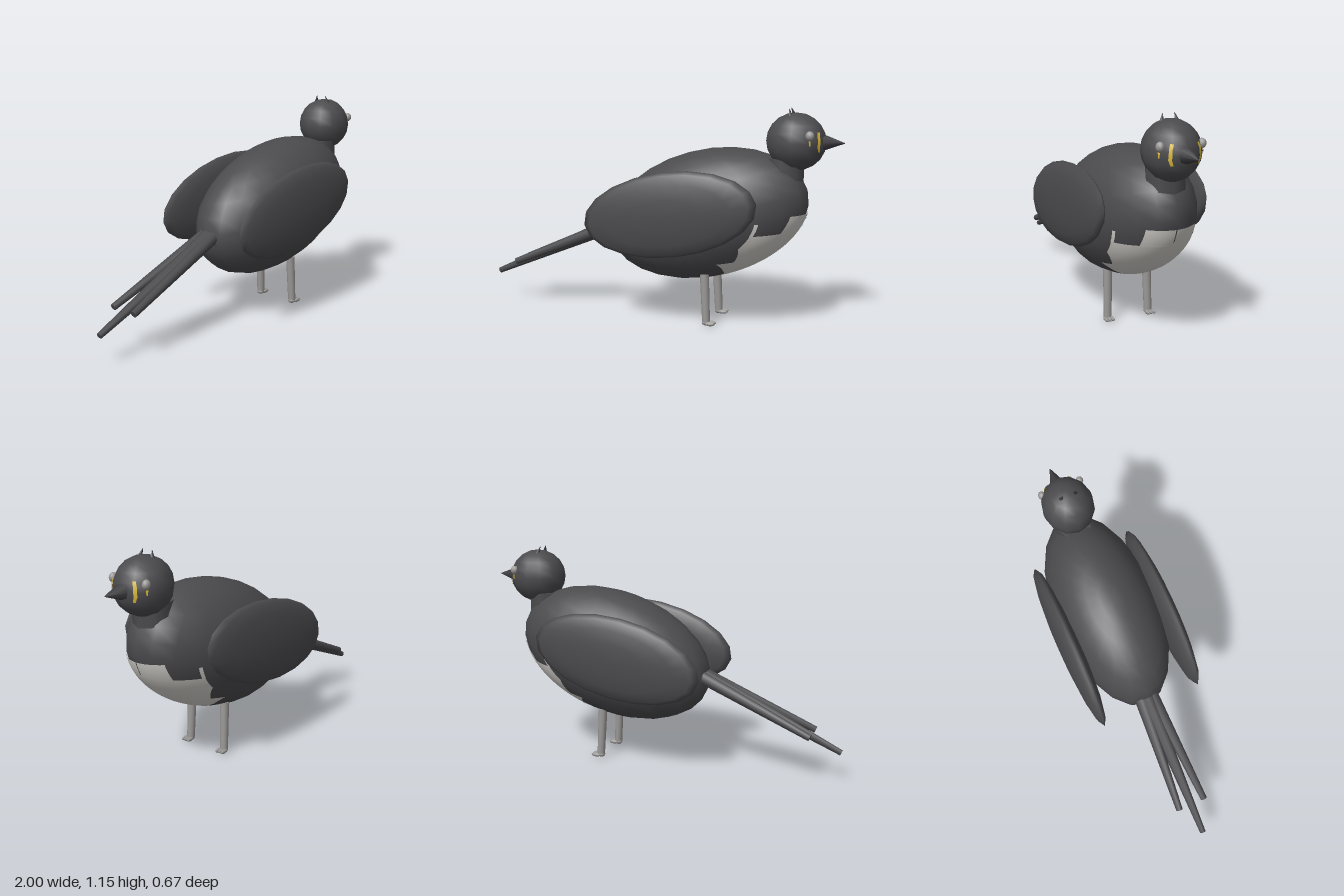
import * as THREE from 'three';

const mat = (name, color, side = THREE.FrontSide) => {
  const m = new THREE.MeshStandardMaterial({ color, side });
  m.name = name;
  return m;
};

export function createModel() {
  const bird = new THREE.Group();
  bird.name = 'bird';
  const plumage = mat('charcoal plumage', 0x4b4a4d, THREE.DoubleSide);
  const horn = mat('dark beak', 0x3f3f43);
  const belly = mat('pale belly', 0xd2d0cb, THREE.DoubleSide);
  const skin = mat('grey skin', 0x9b9997);
  const gold = mat('gold', 0xdab83c, THREE.DoubleSide);

  const add = (name, geo, material, parent = bird) => {
    const m = new THREE.Mesh(geo, material);
    m.name = name;
    parent.add(m);
    return m;
  };
  // Ellipsoid e: centre x, y, z, radii a, b, w and tilt t about z
  const ellipsoid = (name, e, ws, hs, material, poleAlongZ = false) => {
    const g = new THREE.SphereGeometry(1, ws, hs);
    if (poleAlongZ) g.rotateX(Math.PI / 2);
    g.scale(e.a, e.b, e.w).rotateZ(e.t || 0).translate(e.x, e.y, e.z || 0);
    return add(name, g, material);
  };
  // Tapered round rod between two points
  const rod = (name, p, q, r0, r1, sides, material) => {
    const a = new THREE.Vector3(...p), b = new THREE.Vector3(...q);
    const dir = b.clone().sub(a);
    const m = add(name, new THREE.CylinderGeometry(r1, r0, dir.length(), sides), material);
    m.position.copy(a).add(b).multiplyScalar(0.5);
    m.quaternion.setFromUnitVectors(new THREE.Vector3(0, 1, 0), dir.normalize());
    return m;
  };
  // Marking projected along x on an ellipsoid's front; rows are [y, zMin, zMax] going down
  const marking = (name, e, rows, cols, lift, material) => {
    const pos = [], idx = [], steps = 6, n = cols + 1;
    const c = Math.cos(e.t || 0), s = Math.sin(e.t || 0);
    const ia = 1 / (e.a * e.a), ib = 1 / (e.b * e.b);
    const A = c * c * ia + s * s * ib;
    for (let r = 0; r <= (rows.length - 1) * steps; r++) {
      const k = Math.min(Math.floor(r / steps), rows.length - 2), f = r / steps - k;
      const [y, z0, z1] = rows[k].map((v, i) => v + (rows[k + 1][i] - v) * f);
      const dy = y - e.y;
      for (let j = 0; j < n; j++) {
        const z = z0 + (z1 - z0) * j / cols;
        const B = 2 * dy * s * c * (ia - ib);
        const C = dy * dy * (s * s * ia + c * c * ib) + (z / e.w) ** 2 - 1;
        const dx = (-B + Math.sqrt(Math.max(0, B * B - 4 * A * C))) / (2 * A);
        pos.push(e.x + dx * lift, e.y + dy * lift, z * lift);
      }
    }
    for (let r = 0; r < (rows.length - 1) * steps; r++)
      for (let j = 0; j < cols; j++) {
        const a = r * n + j;
        idx.push(a, a + 1, a + n, a + 1, a + n + 1, a + n);
      }
    const g = new THREE.BufferGeometry();
    g.setAttribute('position', new THREE.Float32BufferAttribute(pos, 3));
    g.setIndex(idx);
    g.computeVertexNormals();
    return add(name, g, material);
  };

  // Body, neck and head
  const body = { x: 0.28, y: 0.583, a: 0.564, b: 0.339, w: 0.285, t: 0.28 };
  const head = { x: 0.755, y: 0.985, a: 0.155, b: 0.147, w: 0.14 };
  ellipsoid('body', body, 20, 14, plumage);
  rod('neck', [0.7, 0.7, 0], [0.7, 0.9, 0], 0.1, 0.1, 8, plumage);
  ellipsoid('head', head, 12, 10, plumage);

  // Pale breast with stepped edges and a narrow centre slit
  const edge = [[0.62, 0.13], [0.53, 0.137], [0.52, 0.22], [0.45, 0.213], [0.37, 0.168],
    [0.355, 0.19], [0.31, 0.13], [0.275, 0.07], [0.262, 0.025]];
  marking('breastPatch', body, edge.map(([y, w]) => [y, -w, w]), 28, 1.003, belly);
  marking('breastSlit', body, [[0.622, -0.003, 0.003], [0.55, -0.002, 0.002]], 1, 1.007, plumage);

  // Beak
  rod('beak', [0.893, 0.985, 0], [1, 0.985, 0], 0.042, 0.002, 8, horn);

  // Tail feathers
  rod('middleTailFeather', [-0.2, 0.51, 0], [-0.993, 0.155, 0], 0.045, 0.016, 8, plumage);

  for (const s of [1, -1]) {
    const side = s > 0 ? 'front' : 'back';
    const span = (y, z, h) => [y, s * z - h, s * z + h];

    // Flattened wing
    ellipsoid(side + 'Wing', { x: 0.16, y: 0.613, z: s * 0.278, a: 0.473, b: 0.221, w: 0.057, t: 0.175 },
      20, 8, plumage, true);
    rod(side + 'TailFeather', [-0.2, 0.51, s * 0.03], [-0.84, 0.24, s * 0.075], 0.036, 0.018, 8, plumage);

    // Breast spur
    marking(side + 'BreastSpur', body, [span(0.585, 0.222, 0.004), span(0.52, 0.217, 0.004)], 1, 1.003, belly);

    // Face: eye, gold stripe, small mark below the eye and head tuft
    ellipsoid(side + 'Eye', { x: 0.845, y: 1.025, z: s * 0.108, a: 0.022, b: 0.024, w: 0.02 }, 12, 8, skin);
    marking(side + 'CheekStripe', head, [span(1.04, 0.066, 0.007), span(1.015, 0.074, 0.007),
      span(0.97, 0.077, 0.007), span(0.942, 0.067, 0.006)], 2, 1.012, gold);
    marking(side + 'EyeMark', head, [span(1.0, 0.113, 0.003), span(0.975, 0.113, 0.002)], 1, 1.012, gold);
    rod(side + 'Tuft', [0.737, 1.1, s * 0.045], [0.722, 1.153, s * 0.03], 0.016, 0.001, 6, horn);

    // Leg, ankle and three toes
    rod(side + 'Leg', [0.325, 0.012, s * 0.118], [0.311, 0.28, s * 0.113], 0.021, 0.024, 10, skin);
    ellipsoid(side + 'Ankle', { x: 0.322, y: 0.016, z: s * 0.118, a: 0.021, b: 0.016, w: 0.022 }, 10, 6, skin);
    for (const k of [-1, 0, 1])
      ellipsoid(side + 'Toe', { x: 0.348, y: 0.014, z: s * 0.12 + k * 0.017, a: 0.028, b: 0.011, w: 0.01 },
        8, 6, skin);
  }
  return bird;
}
